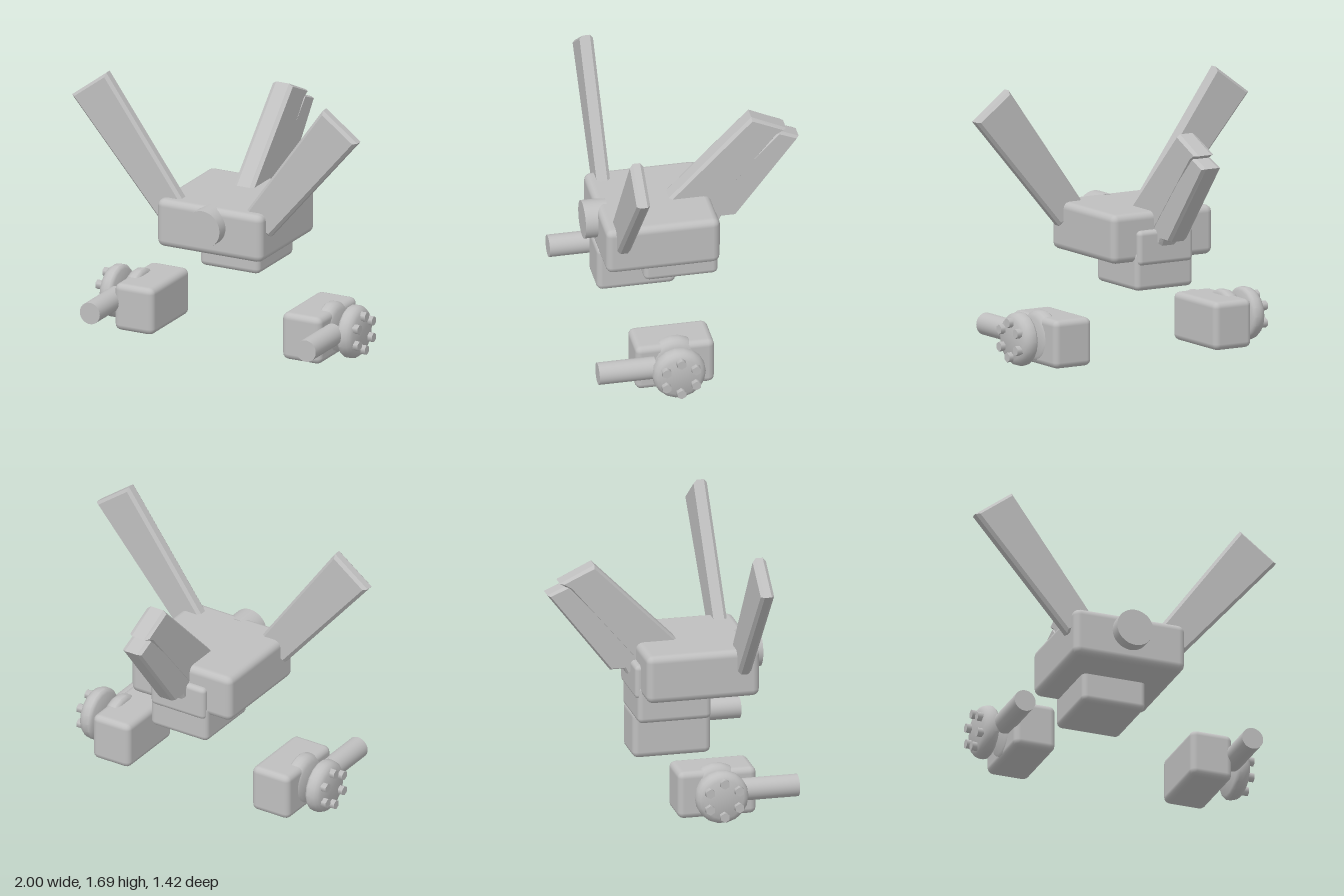
import * as THREE from 'three';
import { toCreasedNormals } from 'three/addons/utils/BufferGeometryUtils.js';
import { RoundedBoxGeometry } from 'three/addons/geometries/RoundedBoxGeometry.js';

export function createModel() {
  const model = new THREE.Group();
  const grey = new THREE.MeshStandardMaterial({ color: 0xbfbfbf });
  grey.name = 'plain grey';

  const add = (parent, name, geometry) => {
    const mesh = new THREE.Mesh(geometry, grey);
    mesh.name = name;
    parent.add(mesh);
    return mesh;
  };

  // Rounded block given by its extents on each axis
  const block = (parent, name, [x0, x1], [y0, y1], [z0, z1], r) =>
    add(parent, name, new RoundedBoxGeometry(x1 - x0, y1 - y0, z1 - z0, 2, r))
      .position.set((x0 + x1) / 2, (y0 + y1) / 2, (z0 + z1) / 2);

  // Cylinder along z
  const tube = (parent, name, r, x, y, z0, z1) =>
    add(parent, name, new THREE.CylinderGeometry(r, r, z1 - z0, 32).rotateX(Math.PI / 2))
      .position.set(x, y, (z0 + z1) / 2);

  // Bevelled slab from an outline, centred on its thickness
  const slab = (points, thickness, bevel, inset) => {
    const shape = new THREE.Shape(points.map(([x, y]) => new THREE.Vector2(x, y)));
    const depth = thickness - 2 * bevel;
    return new THREE.ExtrudeGeometry(shape, {
      depth, bevelEnabled: true, bevelThickness: bevel, bevelSize: inset,
      bevelOffset: -inset, bevelSegments: 1,
    }).translate(0, 0, -depth / 2);
  };

  // Body
  block(model, 'body', [-0.37, 0.37], [0.65, 0.96], [-0.15, 0.57], 0.045);
  block(model, 'lowerBody', [-0.21, 0.21], [0.47, 0.72], [-0.17, 0.3], 0.035);
  block(model, 'backPlate', [-0.2, 0.2], [0.63, 0.85], [-0.185, 0], 0.03);
  tube(model, 'nose', 0.12, 0, 0.845, 0.5, 0.65);

  // Rear fin, made of a main slab and a trailing slab
  const fin = new THREE.Group();
  fin.name = 'rearFin';
  model.add(fin);
  add(fin, 'mainFin', slab([[0.15, 0.92], [-0.1, 0.78], [-0.57, 1.34], [-0.63, 1.38], [-0.41, 1.485]],
    0.14, 0.025, 0.015).rotateY(-Math.PI / 2));
  add(fin, 'trailingFin', slab([[-0.08, 0.85], [-0.2, 0.75], [-0.22, 0.79], [-0.31, 0.79], [-0.71, 1.31], [-0.58, 1.365]],
    0.136, 0.025, 0.012).rotateY(-Math.PI / 2));

  // Wheel-like disc, rounded on its outer side, axis along x
  const profile = [[0, 0], [0.145, 0], [0.16, 0.008], [0.168, 0.02], [0.168, 0.05], [0.162, 0.07],
    [0.148, 0.088], [0.125, 0.1], [0, 0.1]].map(([r, h]) => new THREE.Vector2(r, h));
  const disc = () => toCreasedNormals(
    new THREE.LatheGeometry(profile, 18).rotateZ(-Math.PI / 2), 0.6);

  for (const side of [1, -1]) {
    const label = side > 0 ? 'left' : 'right';

    // Side blade, leaning outwards
    const blade = [[0.2, 0.92], [0.39, 0.81], [1, 1.52], [0.76, 1.7]].map(([x, y]) => [side * x, y]);
    add(model, label + 'Blade', slab(blade, 0.085, 0.02, 0.018)).position.z = 0.465;

    // Pod with two discs, a ring of bolts and a barrel; turned half round for the other side
    const pod = new THREE.Group();
    pod.name = label + 'Pod';
    model.add(pod);
    const [a, b] = [side * 0.45, side * 0.725].sort((p, q) => p - q);
    block(pod, 'podBox', [a, b], [0.01, 0.315], [-0.04, 0.46], 0.04);
    tube(pod, 'barrel', 0.07, side * 0.757, 0.19, 0.35, 0.71);
    for (const [name, x] of [['innerDisc', 0.632], ['outerDisc', 0.788]]) {
      const mesh = add(pod, name, disc());
      mesh.position.set(side * x, 0.178, 0.21);
      if (side < 0) mesh.rotation.y = Math.PI;
    }
    for (let i = 0; i < 6; i++) {
      const angle = Math.PI / 2 + i * Math.PI / 3;
      const bolt = add(pod, 'bolt', new THREE.CylinderGeometry(0.031, 0.031, 0.07, 6).rotateZ(Math.PI / 2));
      bolt.position.set(side * 0.885, 0.178 + 0.108 * Math.sin(angle), 0.21 + 0.108 * Math.cos(angle));
      bolt.rotation.x = Math.PI / 6;
    }
  }
  return model;
}
